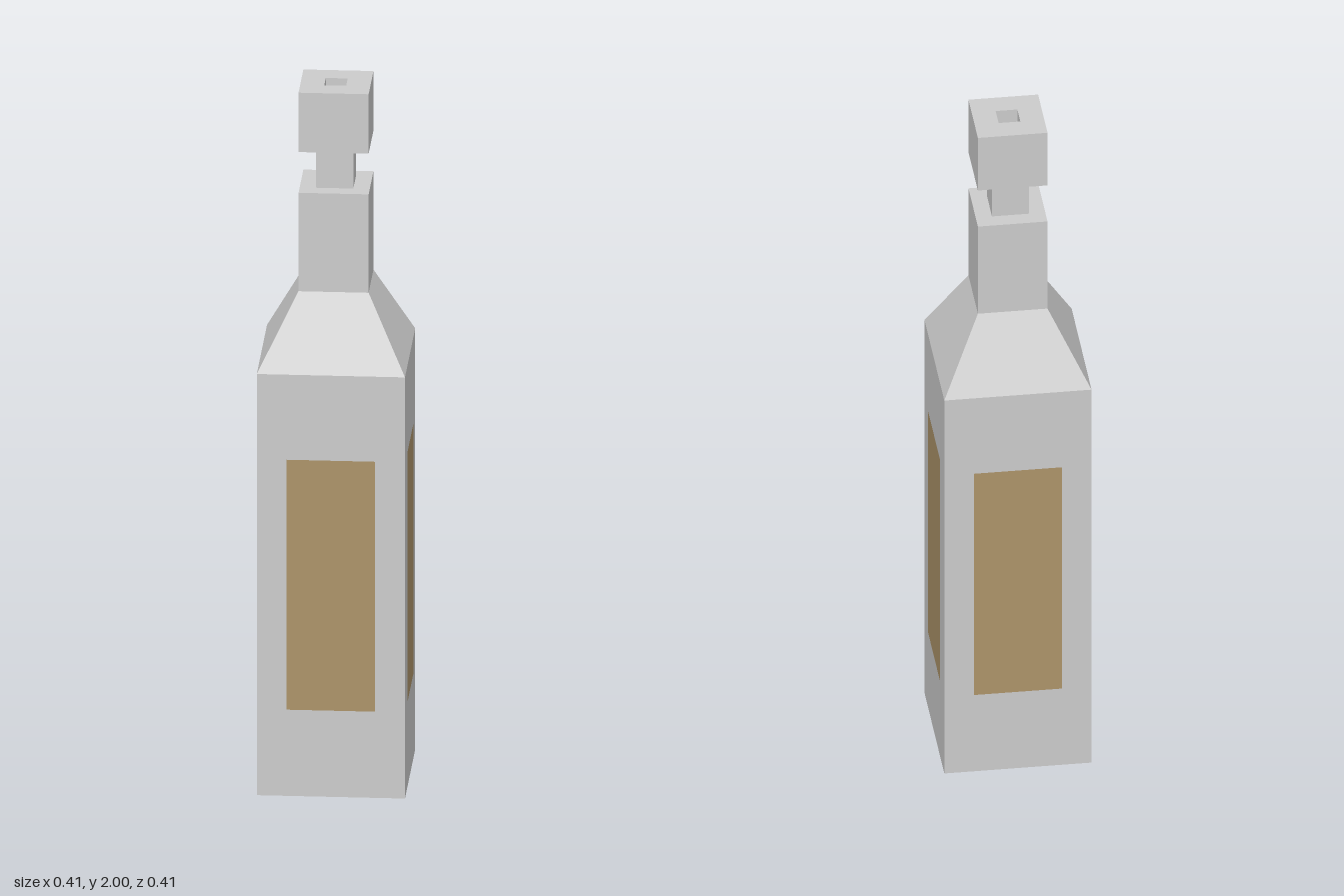
import * as THREE from 'three';

const glass = new THREE.MeshStandardMaterial({ color: 0xcccccc, flatShading: true });
const paper = new THREE.MeshStandardMaterial({ color: 0xac9369 });

// Square solid from a [half width, height] profile, listed bottom to top
function squareSolid(name, profile) {
  const points = profile.map(([half, y]) => new THREE.Vector2(half * Math.SQRT2, y));
  const geometry = new THREE.LatheGeometry(points, 4, Math.PI / 4).toNonIndexed();
  geometry.computeVertexNormals();
  const mesh = new THREE.Mesh(geometry, glass);
  mesh.name = name;
  return mesh;
}

export function createModel() {
  const bottle = new THREE.Group();
  bottle.name = 'bottle';

  // Body, sloping shoulder and neck
  bottle.add(squareSolid('body', [
    [0, 0], [0.203, 0], [0.203, 1.22], [0.096, 1.425], [0.096, 1.71], [0, 1.71],
  ]));

  // Stopper: narrow stem and a block with a square recess in its top
  bottle.add(squareSolid('stopper', [
    [0.051, 1.71], [0.051, 1.828], [0.096, 1.828], [0.096, 2],
    [0.03, 2], [0.03, 1.9], [0, 1.9],
  ]));

  // One label on each of the four sides
  const labelGeometry = new THREE.PlaneGeometry(0.242, 0.724).translate(0, 0.612, 0.204);
  ['front', 'left', 'back', 'right'].forEach((side, i) => {
    const label = new THREE.Mesh(labelGeometry, paper);
    label.name = `${side}Label`;
    label.rotation.y = i * Math.PI / 2;
    bottle.add(label);
  });

  return bottle;
}
